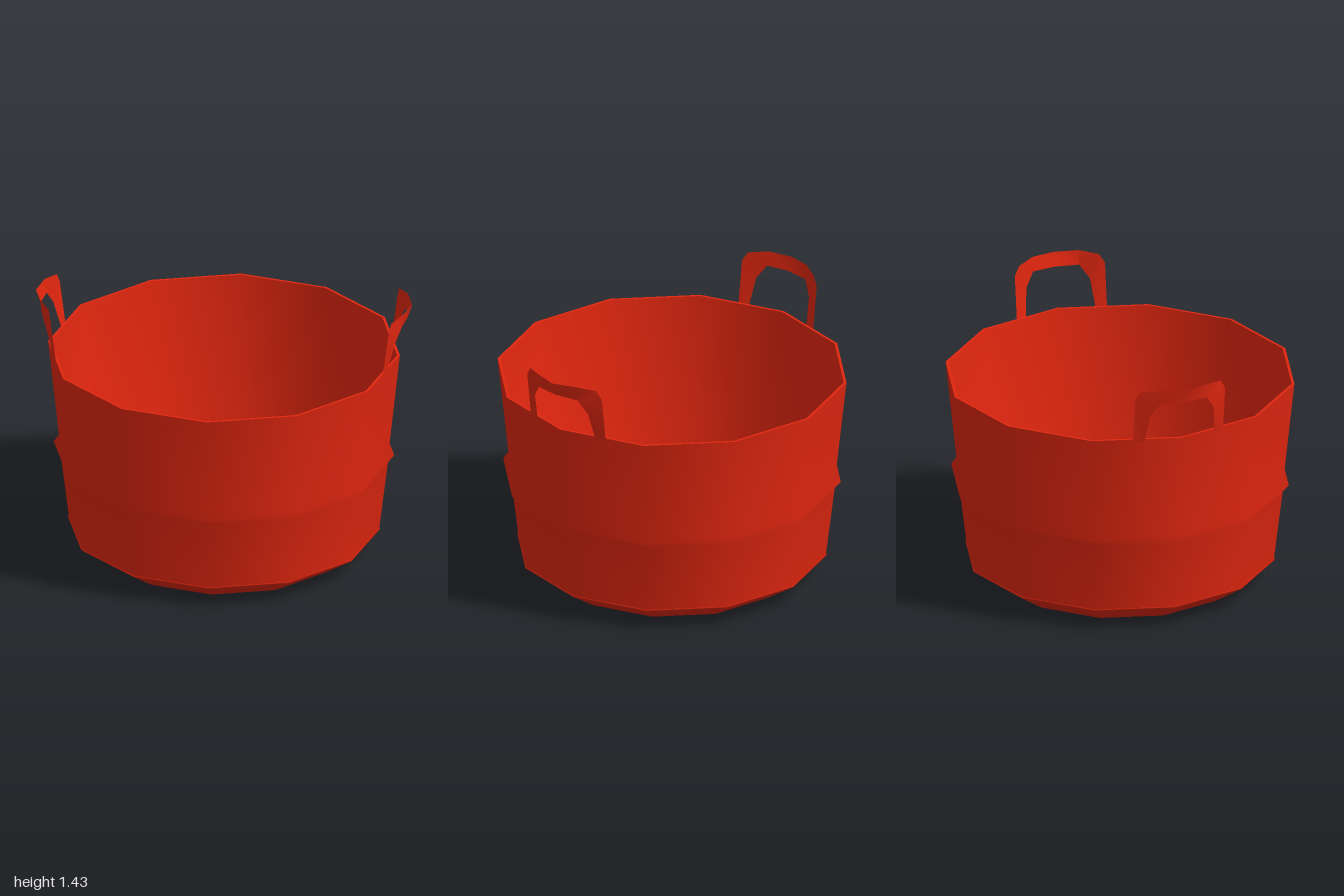
import * as THREE from 'three';

const SIDES = 12;

// Revolve a profile of [radius, height] points; rising points face outward
function lathe(name, points, material) {
  const profile = points.map(([r, y]) => new THREE.Vector2(r, y));
  const mesh = new THREE.Mesh(new THREE.LatheGeometry(profile, SIDES), material);
  mesh.name = name;
  return mesh;
}

// Half of the handle sheet, from leg to middle: outer and inner edge as [x, y, z]
const HANDLE = [
  [[0.867, 1.12, 0.255], [0.882, 1.12, 0.197]],
  [[0.898, 1.37, 0.255], [0.925, 1.28, 0.18]],
  [[0.91, 1.42, 0.225], [0.955, 1.355, 0.13]],
  [[0.965, 1.435, 0.13], [0.955, 1.355, 0.13]],
  [[1.0, 1.43, 0], [0.975, 1.355, 0]],
];

function handleGeometry() {
  const mirrored = HANDLE.slice(0, -1).reverse()
    .map((pair) => pair.map(([x, y, z]) => [x, y, -z]));
  const rows = [...HANDLE, ...mirrored];
  const index = [];
  for (let i = 0; i < rows.length - 1; i++) {
    const a = i * 2;
    index.push(a, a + 2, a + 1, a + 1, a + 2, a + 3);
  }
  const geometry = new THREE.BufferGeometry();
  geometry.setAttribute('position', new THREE.Float32BufferAttribute(rows.flat(2), 3));
  geometry.setIndex(index);
  geometry.computeVertexNormals();
  return geometry;
}

export function createModel() {
  const group = new THREE.Group();
  group.name = 'bucket';
  const red = new THREE.MeshStandardMaterial({ color: 0xe0260f, side: THREE.DoubleSide });
  red.name = 'red';

  // Tapered outside wall with the raised band
  group.add(lathe('outerWall', [
    [0.825, 0.12], [0.872, 0.51], [0.905, 0.55], [0.877, 0.59], [0.935, 1.135],
  ], red));

  // Chamfered base
  group.add(lathe('base', [[0, 0], [0.655, 0], [0.83, 0.115], [0.825, 0.12]], red));

  // Thin rim and the hollow inside
  group.add(lathe('rim', [[0.935, 1.135], [0.92, 1.135]], red));
  group.add(lathe('inside', [
    [0.92, 1.135], [0.81, 0.13], [0.645, 0.02], [0, 0.02],
  ], red));

  // One handle on each side
  const geometry = handleGeometry();
  for (const side of [1, -1]) {
    const handle = new THREE.Mesh(geometry, red);
    handle.name = side > 0 ? 'leftHandle' : 'rightHandle';
    if (side < 0) handle.rotation.y = Math.PI;
    group.add(handle);
  }
  return group;
}
